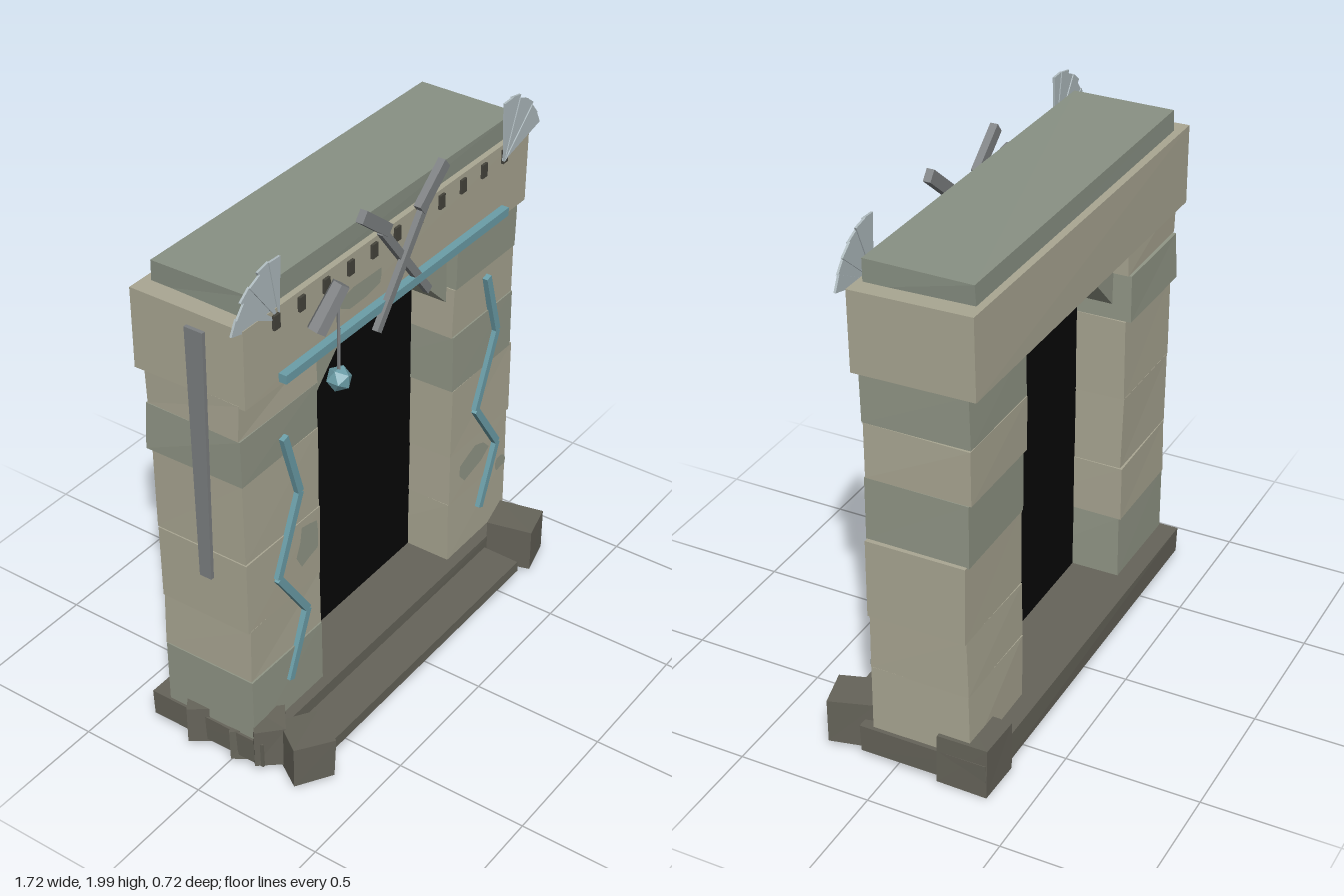
import * as THREE from 'three';

const mat = (color) => new THREE.MeshStandardMaterial({ color, flatShading: true, side: THREE.DoubleSide });
const STONE = mat(0xaaa793), MOSS = mat(0x929787), SLATE = mat(0x899184), DARK = mat(0x66645a);
const STEEL = mat(0x7d8082), TEAL = mat(0x6b9ea8), PALE = mat(0xafbbbf), HOLE = mat(0x45443c), BLACK = mat(0x070707);

// small repeatable noise in -1..1
const noise = (n) => { const s = Math.sin(n * 127.1) * 43758.5453; return 2 * (s - Math.floor(s)) - 1; };

export function createModel() {
  const root = new THREE.Group();

  const add = (name, geo, material, x = 0, y = 0, z = 0, rx = 0, ry = 0, rz = 0) => {
    const m = new THREE.Mesh(geo, material);
    m.name = name;
    m.position.set(x, y, z);
    m.rotation.set(rx, ry, rz);
    root.add(m);
    return m;
  };

  // rough hewn block given by its limits; each corner is nudged a little
  let seed = 1;
  const block = (name, material, [x0, x1], [y0, y1], [z0, z1], rough = 0.004, ry = 0) => {
    const geo = new THREE.BoxGeometry(x1 - x0, y1 - y0, z1 - z0);
    const p = geo.attributes.position;
    seed += 10;
    for (let i = 0; i < p.count; i++) {
      const k = seed + (p.getX(i) > 0 ? 1 : 0) + (p.getY(i) > 0 ? 2 : 0) + (p.getZ(i) > 0 ? 4 : 0);
      p.setXYZ(i, p.getX(i) + rough * noise(k), p.getY(i) + rough * noise(k + 0.3), p.getZ(i) + rough * noise(k + 0.6));
    }
    geo.computeVertexNormals();
    return add(name, geo, material, (x0 + x1) / 2, (y0 + y1) / 2, (z0 + z1) / 2, 0, ry);
  };

  // straight rectangular bar between two points in the front plane
  const bar = (name, material, [ax, ay], [bx, by], width, depth, z) =>
    add(name, new THREE.BoxGeometry(width, Math.hypot(bx - ax, by - ay), depth), material,
      (ax + bx) / 2, (ay + by) / 2, z, 0, 0, -Math.atan2(bx - ax, by - ay));

  const outline = (pts) => new THREE.Shape(pts.map(([x, y]) => new THREE.Vector2(x, y)));
  const slab = (pts, depth) => new THREE.ExtrudeGeometry(outline(pts), { depth, bevelEnabled: false });

  // plinth, step and corner stones
  block('plinth', DARK, [-0.81, 0.81], [0.03, 0.132], [-0.35, 0.135], 0.003);
  block('frontStep', DARK, [-0.61, 0.6], [0.04, 0.085], [0.1, 0.287], 0.002);
  block('cornerStone', DARK, [-0.78, -0.63], [0.02, 0.19], [0.165, 0.33], 0.004, -0.57);
  block('cornerStone', DARK, [-0.8, -0.68], [0.03, 0.195], [0.06, 0.17], 0.006, 0.75);
  block('cornerStone', DARK, [0.635, 0.79], [0.015, 0.195], [0.11, 0.285], 0.004, 0.25);
  block('cornerStone', DARK, [0.63, 0.81], [0.003, 0.2], [-0.355, -0.165]);
  for (const [z, s] of [[-0.15, 0.11], [0.01, 0.08]])
    block('rubble', DARK, [-0.77 - s / 2, -0.77 + s / 2], [0.015, 0.06 + s], [z - s / 2, z + s / 2], 0.005, 0.6);

  // pillars of stacked blocks: bottom, top, outer x, back z, front z, material
  const rightCourses = [
    [0.13, 0.39, 0.797, -0.282, 0.092, STONE], [0.39, 0.61, 0.795, -0.278, 0.09, STONE],
    [0.61, 0.905, 0.808, -0.278, 0.092, STONE], [0.905, 1.14, 0.796, -0.285, 0.09, MOSS],
    [1.14, 1.34, 0.793, -0.296, 0.088, STONE], [1.34, 1.54, 0.79, -0.29, 0.1, MOSS],
  ];
  const leftCourses = [
    [0.13, 0.39, 0.8, -0.278, 0.095, MOSS], [0.39, 0.61, 0.795, -0.28, 0.09, STONE],
    [0.61, 0.9, 0.805, -0.278, 0.093, STONE], [0.9, 1.22, 0.805, -0.28, 0.09, STONE],
    [1.22, 1.4, 0.81, -0.295, 0.09, MOSS], [1.4, 1.54, 0.812, -0.282, 0.09, STONE],
  ];
  for (const [y0, y1, x, zb, zf, m] of rightCourses) block('leftPillarBlock', m, [0.405, x], [y0, y1], [zb, zf]);
  for (const [y0, y1, x, zb, zf, m] of leftCourses) block('rightPillarBlock', m, [-x, -0.405], [y0, y1], [zb, zf]);

  // diagonal braces under the lintel
  for (const s of [-1, 1])
    add('archBrace', slab([[s * 0.42, 1.265], [s * 0.14, 1.54], [s * 0.285, 1.54], [s * 0.42, 1.425]], 0.28), MOSS, 0, 0, -0.225);

  // dark opening
  add('doorway', new THREE.ShapeGeometry(outline(
    [[-0.41, 0.13], [0.41, 0.13], [0.41, 1.28], [0.15, 1.535], [-0.15, 1.535], [-0.41, 1.28]])), BLACK, 0, 0, -0.09);

  // lintel, roof slab and row of square holes
  block('lintel', STONE, [-0.812, 0.81], [1.53, 1.822], [-0.322, 0.122], 0.005);
  block('roofSlab', SLATE, [-0.745, 0.748], [1.8, 1.897], [-0.292, 0.098]);
  for (let i = -5; i <= 5; i++)
    add('lintelHole', new THREE.BoxGeometry(0.03, 0.052, 0.014), HOLE, i * 0.13, 1.775, 0.122);

  // weathered stains lying on the front faces
  const stain = (x, y, z, w, h) => {
    const pts = Array.from({ length: 9 }, (_, i) => {
      const a = i / 9 * Math.PI * 2, r = 1 + 0.25 * noise(i + x * 10);
      return [Math.cos(a) * w * r, Math.sin(a) * h * r];
    });
    add('stain', new THREE.ShapeGeometry(outline(pts)), MOSS, x, y, z);
  };
  stain(0.55, 0.52, 0.099, 0.09, 0.06);
  stain(0.74, 0.4, 0.103, 0.04, 0.03);
  stain(-0.48, 0.8, 0.1, 0.06, 0.08);
  stain(-0.2, 1.67, 0.13, 0.12, 0.04);

  // pale blue trim: long strip and two zigzags
  add('trimStrip', new THREE.BoxGeometry(1.29, 0.032, 0.03), TEAL, 0, 1.566, 0.138);
  const zigzag = [[-0.6, 1.3], [-0.525, 1.04], [-0.65, 0.75], [-0.495, 0.52], [-0.6, 0.27]];
  for (const dx of [0, 1.203])
    for (let i = 0; i < 4; i++)
      bar('zigzagTrim', TEAL, [zigzag[i][0] + dx, zigzag[i][1]], [zigzag[i + 1][0] + dx, zigzag[i + 1][1]], 0.028, 0.025, 0.098);

  // crossed weapons with bent, wider heads
  for (const s of [-1, 1]) {
    const z = 0.147 + s * 0.006;
    bar('crossedShaft', STEEL, [-s * 0.158, 1.49], [s * 0.115, 1.845], 0.03, 0.022, z);
    bar('crossedHead', STEEL, [s * 0.082, 1.835], [s * 0.225, 1.95], 0.045, 0.028, z);
  }

  // fans of overlapping blades at the lintel corners
  for (const s of [-1, 1])
    for (let i = 0; i < 6; i++) {
      const a0 = THREE.MathUtils.degToRad(14 + i * 13), a1 = a0 + 0.245, r = 0.238 - (i % 2) * 0.006;
      const tip = (a, k) => [s * Math.cos(a) * k, Math.sin(a) * k];
      add('fanBlade', slab([[0, 0], tip(a0, r), tip(a1, r * 0.975)], 0.008), PALE,
        s * 0.628, 1.765, (s > 0 ? 0.127 : 0.108) + (i % 2) * 0.004);
    }

  // hanging flail
  add('flailHandle', new THREE.CylinderGeometry(0.032, 0.036, 0.17, 6), STEEL, -0.435, 1.73, 0.165, 0.2, 0, -0.6);
  add('flailChain', new THREE.CylinderGeometry(0.006, 0.006, 0.31, 5), STEEL, -0.402, 1.635, 0.178);
  add('flailBall', new THREE.IcosahedronGeometry(0.045, 0), TEAL, -0.402, 1.45, 0.178);

  // long tapered blade on the right side wall
  add('sideBlade', slab([[-0.026, 0.8], [0.022, 0.8], [0.036, 1.77], [-0.036, 1.77]], 0.014), STEEL,
    -0.815, 0, -0.06, 0, -Math.PI / 2, 0);

  return root;
}
